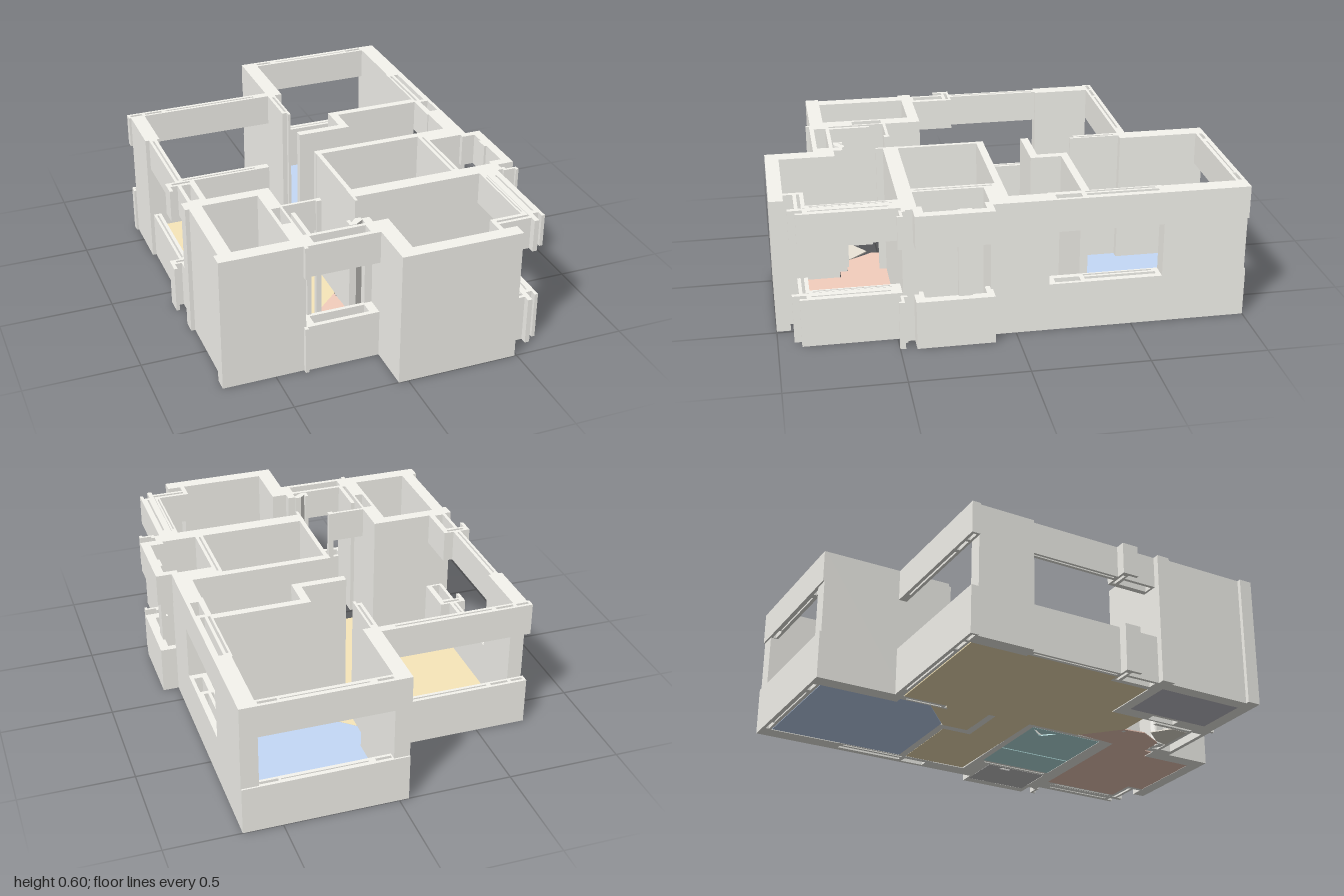
import * as THREE from 'three';

const H = 0.6, SILL = 0.215, HEAD = 0.455;
const plaster = new THREE.MeshStandardMaterial({ color: 0xf7f6f0 });

// Rectangle in plan as corner points [x, z]
const rect = (x0, z0, x1, z1) => [[x0, z0], [x1, z0], [x1, z1], [x0, z1]];

// Upright prism over a clockwise plan outline; holes wind the other way
function prism(points, holes, y0, y1, material) {
  const toV = ([x, z]) => new THREE.Vector2(x, -z);
  const shape = new THREE.Shape(points.map(toV));
  for (const h of holes) shape.holes.push(new THREE.Path(h.map(toV).reverse()));
  const geo = new THREE.ExtrudeGeometry(shape, { depth: y1 - y0, bevelEnabled: false });
  geo.rotateX(-Math.PI / 2);
  geo.translate(0, y0, 0);
  return new THREE.Mesh(geo, material);
}

export function createModel() {
  const model = new THREE.Group();
  const add = (mesh, name) => { mesh.name = name; model.add(mesh); };

  // Full-height wall
  const wall = (name, points, ...holes) => add(prism(points, holes, 0, H, plaster), name);
  // Sill below and lintel above a window opening
  const windowBand = (name, points, ...holes) => {
    const g = new THREE.Group();
    const sill = prism(points, holes, 0, SILL, plaster);
    const lintel = prism(points, holes, HEAD, H, plaster);
    sill.name = 'sill';
    lintel.name = 'lintel';
    g.add(sill, lintel);
    add(g, name);
  };
  const floor = (name, color, points, ...holes) => add(
    prism(points, holes, 0, 0.005, new THREE.MeshStandardMaterial({ color })), name);

  // Floors
  floor('bedroomFloor', 0xc5daf8, [[0.027, -0.955], [0.587, -0.955], [0.587, -0.322], [0.15, -0.322],
    [-0.008, -0.455], [-0.008, -0.6], [0.027, -0.6]]);
  floor('livingRoomFloor', 0xf9e8bb, [[-0.652, -0.597], [-0.042, -0.597], [-0.042, -0.39], [-0.01, -0.38],
    [-0.01, -0.455], [0.16, -0.31], [0.16, -0.185], [-0.045, -0.185], [-0.045, -0.152], [0.197, -0.152],
    [0.197, -0.287], [0.587, -0.287], [0.587, 0.015], [-0.04, 0.025], [-0.04, 0.275], [-0.2, 0.43],
    [-0.345, 0.43], [-0.345, 0.265], [-0.62, 0.265], [-0.62, 0.09], [-0.665, 0.09], [-0.665, -0.345],
    [-0.652, -0.345]]);
  floor('southBedroomFloor', 0xf5cfbe, [[-0.045, 0.28], [-0.2, 0.425], [-0.21, 0.53], [-0.14, 0.65],
    [-0.03, 0.655], [-0.03, 0.69], [0.027, 0.69], [0.027, 0.938], [0.41, 0.938], [0.41, 0.855],
    [0.552, 0.855], [0.552, 0.476], [-0.03, 0.476], [-0.038, 0.41]].reverse());
  floor('bathroomFloor', 0xbdeaea, rect(-0.018, 0.055, 0.262, 0.408),
    [[0.002, 0.07], [0.052, 0.125], [0.052, 0.14], [0.002, 0.19], [0.002, 0.176], [0.038, 0.132], [0.002, 0.085]]);
  floor('showerFloor', 0xbdeaea, rect(0.27, 0.055, 0.45, 0.408));
  floor('kitchenFloor', 0xc8c6cf, rect(-0.655, 0.32, -0.41, 0.718));
  floor('balconyFloor', 0xcccccc, rect(0.488, 0.11, 0.698, 0.408), rect(0.497, 0.18, 0.517, 0.23));
  floor('entryFloor', 0xece6d9, [[-0.31, 0.61], [-0.23, 0.55], [-0.16, 0.63], [-0.14, 0.695], [-0.31, 0.695]]);

  // North bedroom
  wall('bedroomWestWall', rect(-0.042, -0.993, 0.027, -0.6));
  wall('bedroomDoorWall', [[-0.042, -0.6], [-0.008, -0.6], [-0.008, -0.375], [-0.02, -0.375],
    [-0.02, -0.395], [-0.042, -0.395]], rect(-0.028, -0.58, -0.018, -0.41));
  windowBand('bedroomNorthWindow', [[-0.042, -1], [0.67, -1], [0.67, -0.993], [0.595, -0.993],
    [0.595, -0.957], [0.027, -0.957], [0.027, -0.993], [-0.042, -0.993]],
    rect(0.032, -0.985, 0.1, -0.97), rect(0.13, -0.98, 0.5, -0.974), rect(0.51, -0.985, 0.59, -0.97));
  wall('bedroomEastWall', rect(0.595, -0.993, 0.67, -0.63));
  windowBand('eastWindow', rect(0.59, -0.63, 0.67, -0.14),
    rect(0.599, -0.6, 0.61, -0.3), rect(0.623, -0.61, 0.643, -0.3), rect(0.616, -0.28, 0.654, -0.17));
  wall('eastWall', rect(0.595, -0.14, 0.67, 0.108));

  // Partition between bedroom and living room
  wall('livingPartition', [[-0.045, -0.187], [0.16, -0.187], [0.16, -0.322], [0.59, -0.322],
    [0.59, -0.288], [0.197, -0.288], [0.197, -0.152], [-0.045, -0.152]]);

  // Living room
  windowBand('livingNorthWindow', rect(-0.727, -0.64, -0.042, -0.602),
    rect(-0.715, -0.627, -0.66, -0.613), rect(-0.645, -0.627, -0.565, -0.613),
    rect(-0.545, -0.624, -0.11, -0.616));
  wall('livingCornerPost', rect(-0.717, -0.602, -0.652, -0.345));
  windowBand('livingWestWindow', rect(-0.7, -0.345, -0.665, 0.08), rect(-0.688, -0.33, -0.68, 0.07));
  windowBand('westWindowEnd', [[-0.745, 0.08], [-0.62, 0.08], [-0.62, 0.27], [-0.7, 0.27], [-0.7, 0.115],
    [-0.73, 0.115], [-0.73, 0.155], [-0.745, 0.155]],
    rect(-0.685, 0.12, -0.645, 0.26), rect(-0.72, 0.091, -0.64, 0.104));

  // South-west kitchen
  wall('kitchenWalls', [[-0.73, 0.27], [-0.345, 0.27], [-0.345, 0.72],
    [-0.365, 0.72], [-0.365, 0.78], [-0.73, 0.78], [-0.73, 0.72], [-0.712, 0.72], [-0.712, 0.33], [-0.73, 0.33]],
    rect(-0.655, 0.32, -0.41, 0.718), rect(-0.395, 0.45, -0.355, 0.585));

  // Entry
  windowBand('entryWindow', [[-0.345, 0.695], [-0.042, 0.695], [-0.042, 0.785], [-0.36, 0.785],
    [-0.36, 0.8], [-0.375, 0.8], [-0.375, 0.78], [-0.365, 0.78], [-0.365, 0.72], [-0.345, 0.72]],
    rect(-0.325, 0.712, -0.08, 0.765));
  wall('entrySidePost', rect(-0.33, 0.51, -0.312, 0.7));
  add(prism(rect(-0.345, 0.432, -0.195, 0.445), [], HEAD, H, plaster), 'entryLintel');
  wall('entryDoorPost', rect(-0.195, 0.43, -0.172, 0.455));
  wall('entryJamb', [[-0.14, 0.65], [-0.125, 0.65], [-0.125, 0.67], [-0.1, 0.645], [-0.075, 0.645],
    [-0.075, 0.665], [-0.11, 0.69], [-0.14, 0.69]]);
  wall('entryInnerJamb', rect(-0.075, 0.655, -0.04, 0.7));

  // Bathroom
  wall('bathroomNorthWall', rect(-0.042, 0.022, 0.486, 0.055));
  wall('bathroomWestWall', rect(-0.04, 0.055, -0.02, 0.41));
  wall('bathroomEastWall', rect(0.45, 0.055, 0.486, 0.41), rect(0.464, 0.07, 0.472, 0.4));
  wall('bathroomSouthWall', [[-0.042, 0.41], [0.665, 0.41], [0.665, 0.476], [-0.03, 0.476],
    [-0.03, 0.508], [-0.042, 0.508]]);

  // East balcony
  wall('balconyNorthWall', rect(0.486, 0.022, 0.595, 0.108));
  windowBand('balconyParapet', [[0.64, 0.108], [0.67, 0.108], [0.67, 0.1], [0.74, 0.1], [0.74, 0.43],
    [0.665, 0.43], [0.665, 0.41], [0.64, 0.41], [0.64, 0.39], [0.7, 0.39], [0.7, 0.25], [0.69, 0.24],
    [0.69, 0.2], [0.7, 0.19], [0.7, 0.13], [0.64, 0.13]]);
  wall('balconyPost', rect(0.69, 0.19, 0.71, 0.25));
  windowBand('balconyHook', [[0.665, 0.46], [0.68, 0.46], [0.68, 0.476], [0.73, 0.476], [0.73, 0.5],
    [0.718, 0.5], [0.718, 0.488], [0.665, 0.488]]);

  // South bedroom
  wall('southBedroomWalls', [[-0.042, 0.695], [0.027, 0.695], [0.027, 0.94], [0.49, 0.94], [0.49, 1], [-0.042, 1]]);
  wall('southCornerPost', rect(0.41, 0.855, 0.43, 0.94));
  windowBand('southCornerReturn', rect(0.43, 0.855, 0.575, 0.872));
  windowBand('southCornerOuterReturn', rect(0.43, 0.885, 0.577, 0.9));
  windowBand('southEastWindowInner', rect(0.552, 0.476, 0.575, 0.855), rect(0.56, 0.52, 0.566, 0.84));
  windowBand('southEastWindowMiddle', rect(0.577, 0.5, 0.598, 0.93));
  windowBand('southEastWindowOuter', [[0.598, 0.5], [0.64, 0.5], [0.64, 0.9], [0.625, 0.9],
    [0.625, 0.87], [0.598, 0.87]], rect(0.606, 0.52, 0.614, 0.85));
  windowBand('southEastWindowHead', rect(0.575, 0.476, 0.64, 0.5));

  return model;
}
